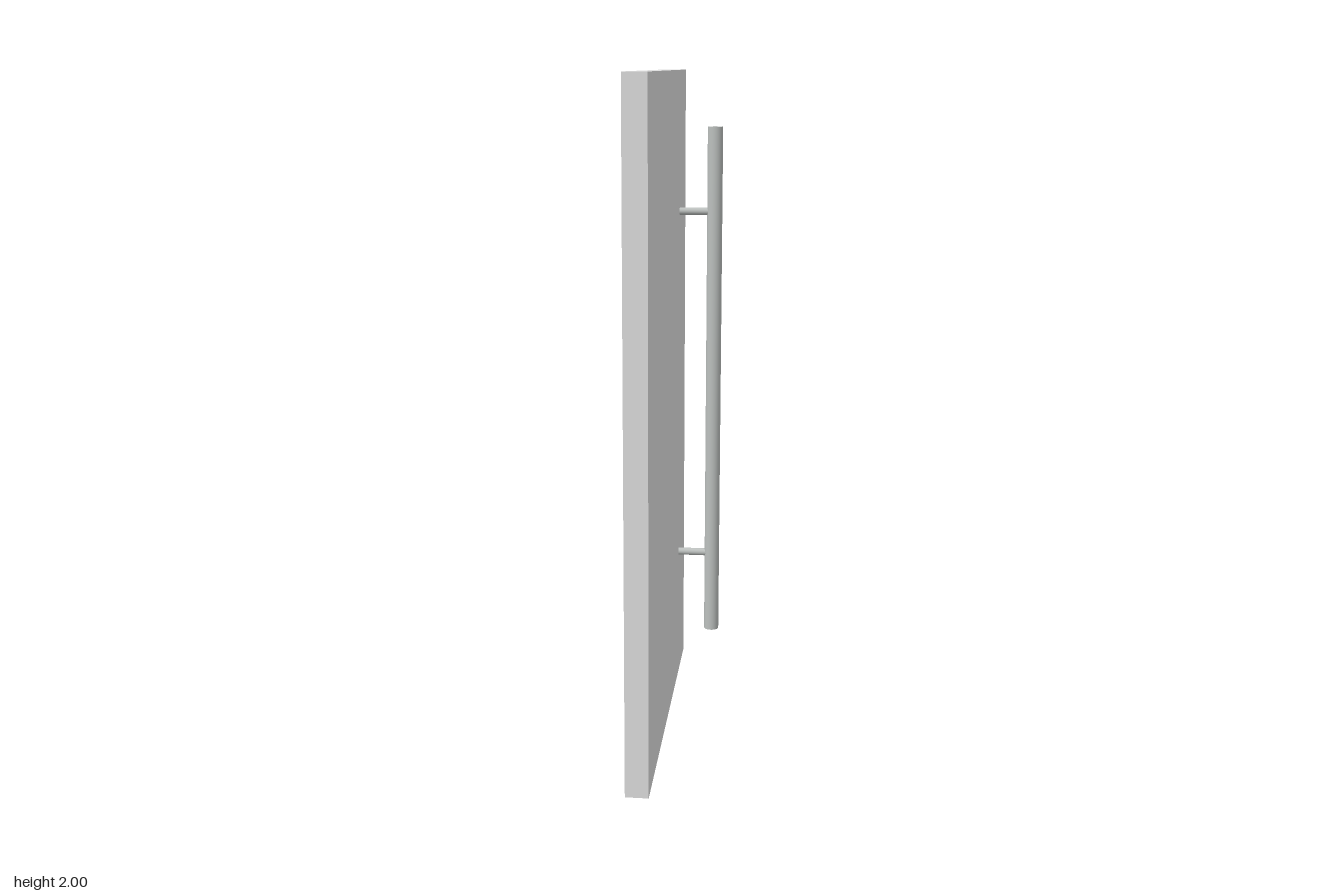
import * as THREE from 'three';

export function createModel() {
  const model = new THREE.Group();
  model.name = 'door';

  const panelMat = new THREE.MeshStandardMaterial({ color: 0xdedede });
  panelMat.name = 'pale grey panel';
  const steelMat = new THREE.MeshStandardMaterial({ color: 0xbcc0be });
  steelMat.name = 'brushed steel';

  const width = 1.104, height = 2, depth = 0.068;
  const handleX = -0.354, handleZ = -0.145;

  // Door leaf, standing open at 45 degrees
  const leaf = new THREE.Group();
  leaf.name = 'doorLeaf';
  leaf.rotation.y = -Math.PI / 4;
  model.add(leaf);

  const panel = new THREE.Mesh(new THREE.BoxGeometry(width, height, depth), panelMat);
  panel.name = 'panel';
  panel.position.y = height / 2;
  leaf.add(panel);

  // Long vertical pull handle on the back face
  const handle = new THREE.Group();
  handle.name = 'pullHandle';
  handle.position.set(handleX, 0, 0);
  leaf.add(handle);

  const bar = new THREE.Mesh(new THREE.CylinderGeometry(0.024, 0.024, 1.664, 32), steelMat);
  bar.name = 'handleBar';
  bar.position.set(0, 0.995, handleZ);
  handle.add(bar);

  // Two standoffs joining the bar to the panel
  const reach = -handleZ - depth / 2;
  for (const y of [0.43, 1.563]) {
    const post = new THREE.Mesh(new THREE.CylinderGeometry(0.0118, 0.0118, reach, 24), steelMat);
    post.name = 'handlePost';
    post.rotation.x = Math.PI / 2;
    post.position.set(0, y, handleZ + reach / 2);
    handle.add(post);
  }

  return model;
}
